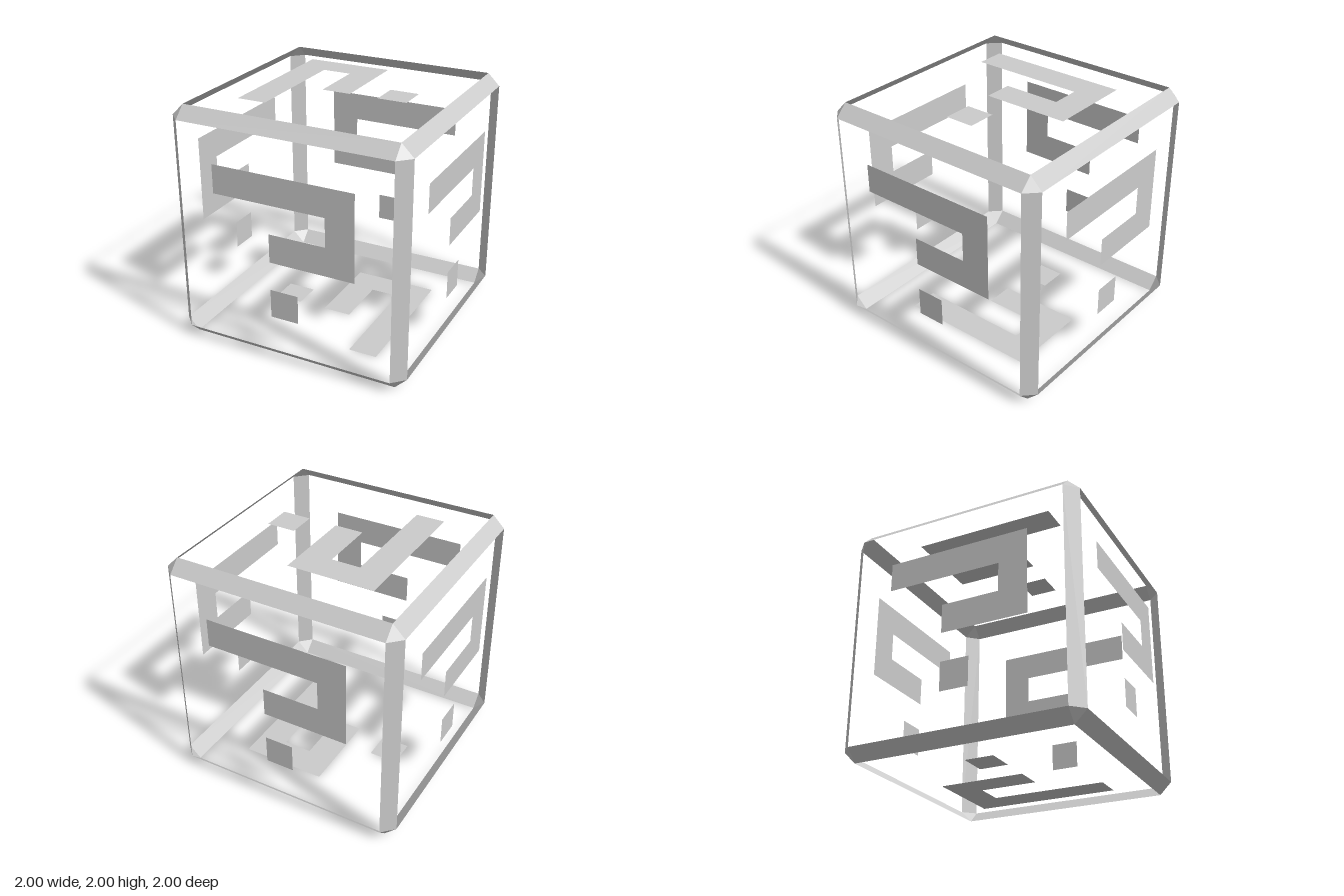
import * as THREE from 'three';

const HALF = 1;      // half the cube's side
const BEVEL = 0.1;   // width cut off each edge
const INNER = HALF - BEVEL;

const material = new THREE.MeshStandardMaterial({
  color: 0xcccccc, flatShading: true, side: THREE.DoubleSide,
});

function addMesh(parent, geometry, name) {
  const mesh = new THREE.Mesh(geometry, material);
  mesh.name = name;
  parent.add(mesh);
  return mesh;
}

// Turns an object so that its local x and z follow the given directions
function orient(object, right, normal) {
  const up = new THREE.Vector3().crossVectors(normal, right);
  object.quaternion.setFromRotationMatrix(new THREE.Matrix4().makeBasis(right, up, normal));
}

const axisVector = (axis, length = 1) => new THREE.Vector3().setComponent(axis, length);

// Flat bevel strips along the twelve edges
function createEdges() {
  const edges = new THREE.Group();
  edges.name = 'edgeBevels';
  const strip = new THREE.PlaneGeometry(2 * INNER, BEVEL * Math.SQRT2);
  for (let axis = 0; axis < 3; axis++) {
    for (const a of [-1, 1]) for (const b of [-1, 1]) {
      const outward = axisVector((axis + 1) % 3, a).add(axisVector((axis + 2) % 3, b));
      const mesh = addMesh(edges, strip, 'edgeBevel');
      mesh.position.copy(outward).multiplyScalar(HALF - BEVEL / 2);
      orient(mesh, axisVector(axis), outward.normalize());
    }
  }
  return edges;
}

// Triangles closing the eight corners
function createCorners() {
  const corners = new THREE.Group();
  corners.name = 'cornerBevels';
  for (const x of [-1, 1]) for (const y of [-1, 1]) for (const z of [-1, 1]) {
    const points = [0, 1, 2].map((axis) =>
      new THREE.Vector3(INNER, INNER, INNER).setComponent(axis, HALF)
        .multiply(new THREE.Vector3(x, y, z)));
    if (x * y * z < 0) points.reverse();
    const geometry = new THREE.BufferGeometry().setFromPoints(points);
    geometry.computeVertexNormals();
    addMesh(corners, geometry, 'cornerBevel');
  }
  return corners;
}

// Hooked panel with a square below it, one pair on each of the six sides
function createPanels() {
  const panels = new THREE.Group();
  panels.name = 'sidePanels';
  const outline = [
    [-0.6, 0.36], [0.36, 0.36], [0.36, 0.12], [-0.12, 0.12],
    [-0.12, -0.12], [0.6, -0.12], [0.6, 0.6], [-0.6, 0.6],
  ].map(([x, y]) => new THREE.Vector2(x, y));
  const hook = new THREE.ShapeGeometry(new THREE.Shape(outline));
  const square = new THREE.PlaneGeometry(0.24, 0.24);

  const v = (x, y, z) => new THREE.Vector3(x, y, z);
  const sides = [
    ['frontPanel', v(1, 0, 0), v(0, 0, 1)],
    ['backPanel', v(-1, 0, 0), v(0, 0, -1)],
    ['leftPanel', v(0, 0, -1), v(1, 0, 0)],
    ['rightPanel', v(0, 0, 1), v(-1, 0, 0)],
    ['topPanel', v(0, 0, -1), v(0, 1, 0)],
    ['bottomPanel', v(0, 0, -1), v(0, -1, 0)],
  ];
  for (const [name, right, normal] of sides) {
    const panel = new THREE.Group();
    panel.name = name;
    addMesh(panel, hook, 'hook');
    addMesh(panel, square, 'square').position.y = -0.48;
    orient(panel, right, normal);
    panel.position.copy(normal).multiplyScalar(HALF);
    panels.add(panel);
  }
  return panels;
}

export function createModel() {
  const model = new THREE.Group();
  model.name = 'openCube';
  const cube = new THREE.Group();
  cube.name = 'cube';
  cube.position.y = HALF;
  cube.add(createEdges(), createCorners(), createPanels());
  model.add(cube);
  return model;
}
